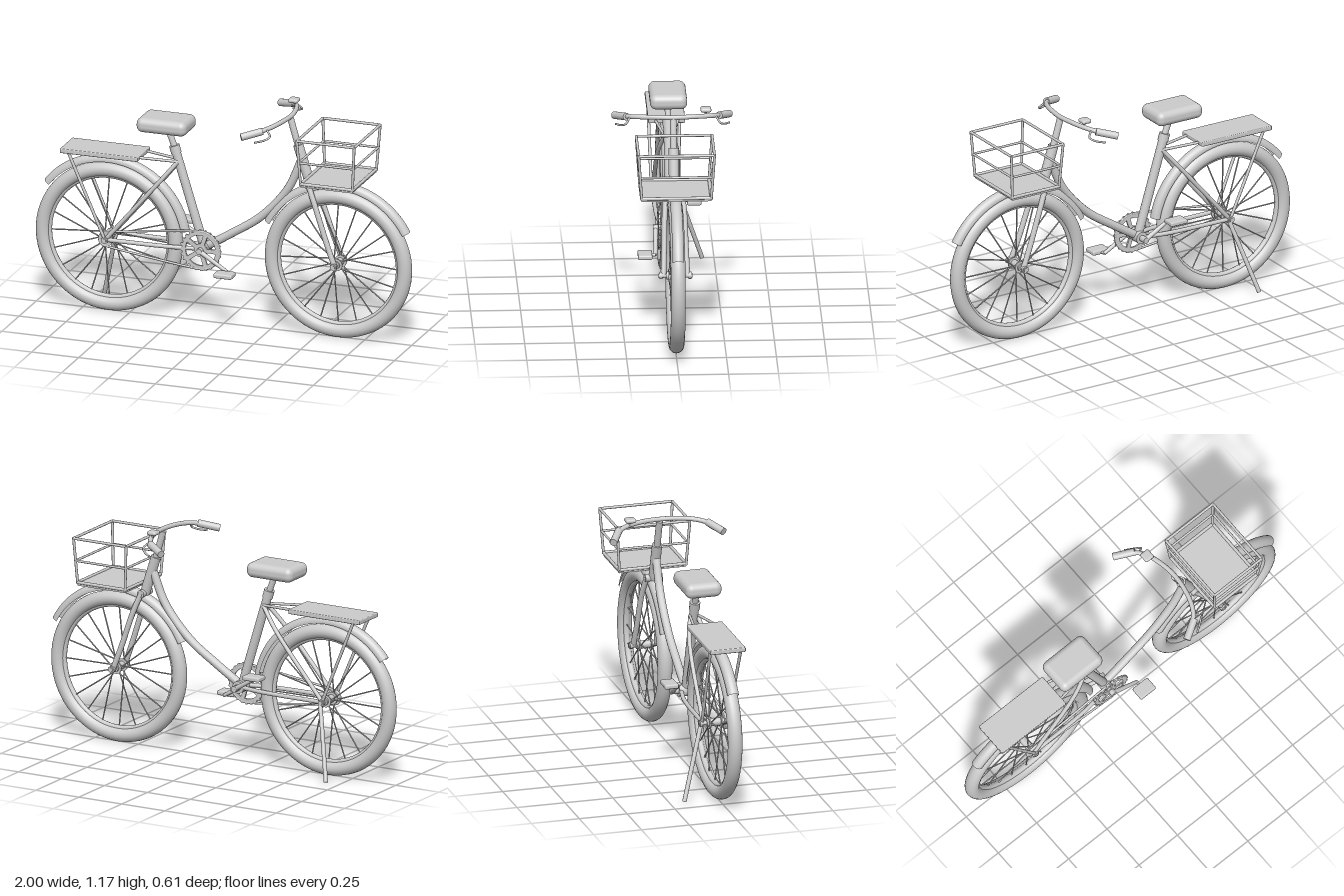
import * as THREE from 'three';
import { RoundedBoxGeometry } from 'three/addons/geometries/RoundedBoxGeometry.js';

const V = (x, y, z = 0) => new THREE.Vector3(x, y, z);

export function createModel() {
  const bike = new THREE.Group();
  bike.name = 'bicycle';
  const grey = new THREE.MeshStandardMaterial({ color: 0xcccccc, side: THREE.DoubleSide });
  grey.name = 'light grey';

  function add(name, geo, pos = V(0, 0, 0), parent = bike) {
    const m = new THREE.Mesh(geo, grey);
    m.name = name;
    m.position.copy(pos);
    parent.add(m);
    return m;
  }
  // Straight round bar between two points
  function bar(name, a, b, r, r2 = r, parent = bike, seg = 14) {
    const d = b.clone().sub(a);
    const m = add(name, new THREE.CylinderGeometry(r2, r, d.length(), seg), a.clone().add(b).multiplyScalar(0.5), parent);
    m.quaternion.setFromUnitVectors(V(0, 1, 0), d.normalize());
    return m;
  }
  function tube(name, pts, r, closed = false, seg = 40) {
    const curve = new THREE.CatmullRomCurve3(pts, closed, 'centripetal');
    return add(name, new THREE.TubeGeometry(curve, seg, r, 12, closed));
  }
  const axle = 0.39, wheelX = 0.61;

  // Wheels with tyre, rim, hub and spokes
  function wheel(name, x) {
    const g = new THREE.Group();
    g.name = name;
    g.position.set(x, axle, 0);
    bike.add(g);
    add('tyre', new THREE.TorusGeometry(0.353, 0.037, 18, 80), V(0, 0, 0), g);
    add('rim', new THREE.TorusGeometry(0.322, 0.016, 10, 80), V(0, 0, 0), g);
    bar('hub', V(0, 0, -0.045), V(0, 0, 0.045), 0.02, 0.02, g);
    bar('axle', V(0, 0, -0.085), V(0, 0, 0.085), 0.011, 0.011, g);
    for (const s of [-1, 1]) {
      bar('hubFlange', V(0, 0, s * 0.027), V(0, 0, s * 0.035), 0.032, 0.032, g, 20);
      bar('axleNut', V(0, 0, s * 0.066), V(0, 0, s * 0.08), 0.019, 0.019, g, 6);
    }
    for (let i = 0; i < 20; i++) {
      const a = (i / 20) * Math.PI * 2, b = a + (i % 4 < 2 ? 0.45 : -0.45), s = i % 2 ? 1 : -1;
      bar('spoke', V(0.028 * Math.cos(b), 0.028 * Math.sin(b), s * 0.03),
        V(0.315 * Math.cos(a), 0.315 * Math.sin(a), 0), 0.0035, 0.0035, g, 6);
    }
  }
  wheel('rearWheel', -wheelX);
  wheel('frontWheel', wheelX);

  // Mudguards: a curved cross-section swept around the wheel
  function mudguard(name, x, from, to) {
    const profile = [];
    for (let i = 0; i <= 12; i++) {
      const t = -0.25 + (i / 12) * (Math.PI + 0.5);
      profile.push(new THREE.Vector2(0.404 + 0.029 * Math.sin(t), 0.029 * Math.cos(t)));
    }
    const geo = new THREE.LatheGeometry(profile, 48, 0, THREE.MathUtils.degToRad(to - from));
    geo.rotateY(-Math.PI / 2).rotateX(Math.PI / 2).rotateZ(0);
    // Lathe sweep now runs clockwise from +x, so start it at the upper angle
    geo.computeBoundingSphere();
    const c = geo.boundingSphere.center;
    const now = Math.atan2(c.y, c.x), want = THREE.MathUtils.degToRad((from + to) / 2);
    geo.rotateZ(want - now);
    add(name, geo, V(x, axle, 0));
  }
  mudguard('rearMudguard', -wheelX, 16, 148);
  mudguard('frontMudguard', wheelX, 33, 159);

  // Frame
  const crank = V(-0.105, 0.39);
  bar('seatTube', crank, V(-0.262, 0.9), 0.023);
  bar('seatPost', V(-0.255, 0.88), V(-0.3, 1.0), 0.016);
  bar('seatClamp', V(-0.253, 0.87), V(-0.265, 0.91), 0.027);
  tube('downTube', [V(0.415, 0.92), V(0.34, 0.75), V(0.2, 0.59), V(0.04, 0.48), crank], 0.021);
  bar('headTube', V(0.46, 0.79), V(0.395, 0.99), 0.026);
  bar('bottomBracket', V(-0.105, 0.39, -0.04), V(-0.105, 0.39, 0.04), 0.032, 0.032, bike, 20);
  for (const s of [-1, 1]) {
    tube('chainStay', [V(-0.105, 0.39, s * 0.025), V(-0.25, 0.39, s * 0.052), V(-0.61, 0.39, s * 0.062)], 0.011);
    tube('seatStay', [V(-0.24, 0.83, s * 0.018), V(-0.33, 0.72, s * 0.048), V(-0.61, 0.39, s * 0.062)], 0.011);
    bar('rackStrut', V(-0.8, 0.835, s * 0.08), V(-0.61, 0.39, s * 0.068), 0.008);
    bar('rackStay', V(-0.43, 0.842, s * 0.055), V(-0.24, 0.832, s * 0.02), 0.007);
    tube('forkBlade', [V(0.46, 0.8, s * 0.035), V(0.5, 0.7, s * 0.048), V(0.565, 0.51, s * 0.055), V(0.61, 0.39, s * 0.06)], 0.014);
  }
  bar('forkCrown', V(0.46, 0.795, -0.045), V(0.46, 0.795, 0.045), 0.02);

  // Saddle and carrier
  add('saddle', new RoundedBoxGeometry(0.265, 0.076, 0.186, 5, 0.032), V(-0.308, 1.022, 0));
  add('carrierPlate', new RoundedBoxGeometry(0.415, 0.024, 0.186, 2, 0.005), V(-0.635, 0.842, 0));

  // Kickstand
  bar('kickstand', V(-0.6, 0.39, -0.068), V(-0.705, 0.018, -0.188), 0.011);

  // Chainring: toothed disc with a cut-out web
  const teeth = 24, ring = new THREE.Shape();
  for (let i = 0; i < teeth * 4; i++) {
    const a = (i / (teeth * 4)) * Math.PI * 2, r = i % 4 < 2 ? 0.109 : 0.099;
    ring[i ? 'lineTo' : 'moveTo'](r * Math.cos(a), r * Math.sin(a));
  }
  ring.closePath();
  for (let i = 0; i < 5; i++) {
    const a = (i / 5) * Math.PI * 2, hole = new THREE.Path();
    hole.absarc(0, 0, 0.08, a + 0.14, a + 1.11, false);
    hole.absarc(0, 0, 0.035, a + 0.95, a + 0.3, true);
    hole.closePath();
    ring.holes.push(hole);
  }
  add('chainring', new THREE.ExtrudeGeometry(ring, { depth: 0.01, bevelEnabled: false, curveSegments: 10 }), V(-0.105, 0.39, 0.047));
  bar('rearSprocket', V(-0.61, 0.39, 0.047), V(-0.61, 0.39, 0.057), 0.038, 0.038, bike, 20);

  // Chain looped around both sprockets
  const loop = [];
  for (const [cx, r, start] of [[-0.105, 0.1, -Math.PI / 2 - 0.12], [-0.61, 0.036, Math.PI / 2 + 0.12]]) {
    const sweep = cx > -0.5 ? Math.PI + 0.24 : Math.PI - 0.24;
    for (let i = 0; i <= 10; i++) {
      const a = start + (sweep * i) / 10;
      loop.push(V(cx + r * Math.cos(a), 0.39 + r * Math.sin(a), 0.052));
    }
  }
  tube('chain', loop, 0.006, true, 160);

  // Cranks and pedals
  bar('crankAxle', V(-0.105, 0.39, -0.082), V(-0.105, 0.39, 0.082), 0.016);
  for (const s of [-1, 1]) {
    const end = V(-0.105 + s * 0.15, 0.39 - s * 0.09, s * 0.076);
    bar('crankArm', V(-0.105, 0.39, s * 0.07), end, 0.013, 0.009);
    bar('pedalSpindle', end, V(end.x, end.y, s * 0.11), 0.008);
    add('pedal', new RoundedBoxGeometry(0.098, 0.024, 0.072, 2, 0.008), V(end.x + 0.005, end.y + 0.002, s * 0.129));
  }

  // Handlebar, grips, brake levers and bell
  bar('stem', V(0.4, 0.97), V(0.353, 1.13), 0.017);
  const half = [[0.35, 1.138, 0.08], [0.325, 1.133, 0.17], [0.29, 1.124, 0.225], [0.24, 1.11, 0.26]];
  tube('handlebar', [
    ...half.map(([x, y, z]) => V(x, y, -z)).reverse(), V(0.358, 1.138, 0), ...half.map(p => V(...p))], 0.012);
  for (const s of [-1, 1]) {
    bar('grip', V(0.29, 1.123, s * 0.232), V(0.195, 1.098, s * 0.288), 0.019);
    tube('brakeLever', [V(0.305, 1.128, s * 0.215), V(0.33, 1.1, s * 0.235), V(0.31, 1.085, s * 0.255), V(0.265, 1.076, s * 0.285)], 0.005);
  }
  add('bell', new RoundedBoxGeometry(0.052, 0.022, 0.054, 4, 0.011), V(0.313, 1.164, -0.165));
  bar('bellPost', V(0.32, 1.13, -0.165), V(0.314, 1.16, -0.165), 0.006);

  // Basket: plate, three rings that widen upwards, corner posts
  add('basketBase', new THREE.BoxGeometry(0.275, 0.016, 0.35), V(0.61, 0.838, 0));
  const corners = (y) => {
    const t = (y - 0.84) / 0.24, hx = 0.138 + 0.015 * t, hz = 0.174 + 0.016 * t;
    return [V(0.61 - hx, y, -hz), V(0.61 + hx, y, -hz), V(0.61 + hx, y, hz), V(0.61 - hx, y, hz)];
  };
  for (const [y, r] of [[0.847, 0.008], [0.96, 0.006], [1.077, 0.007]]) {
    const c = corners(y);
    c.forEach((p, i) => bar('basketRail', p, c[(i + 1) % 4], r));
  }
  const top = corners(1.08);
  corners(0.84).forEach((p, i) => bar('basketPost', p, top[i], 0.007));
  add('basketMount', new THREE.BoxGeometry(0.065, 0.05, 0.04), V(0.56, 0.812, 0));

  return bike;
}
